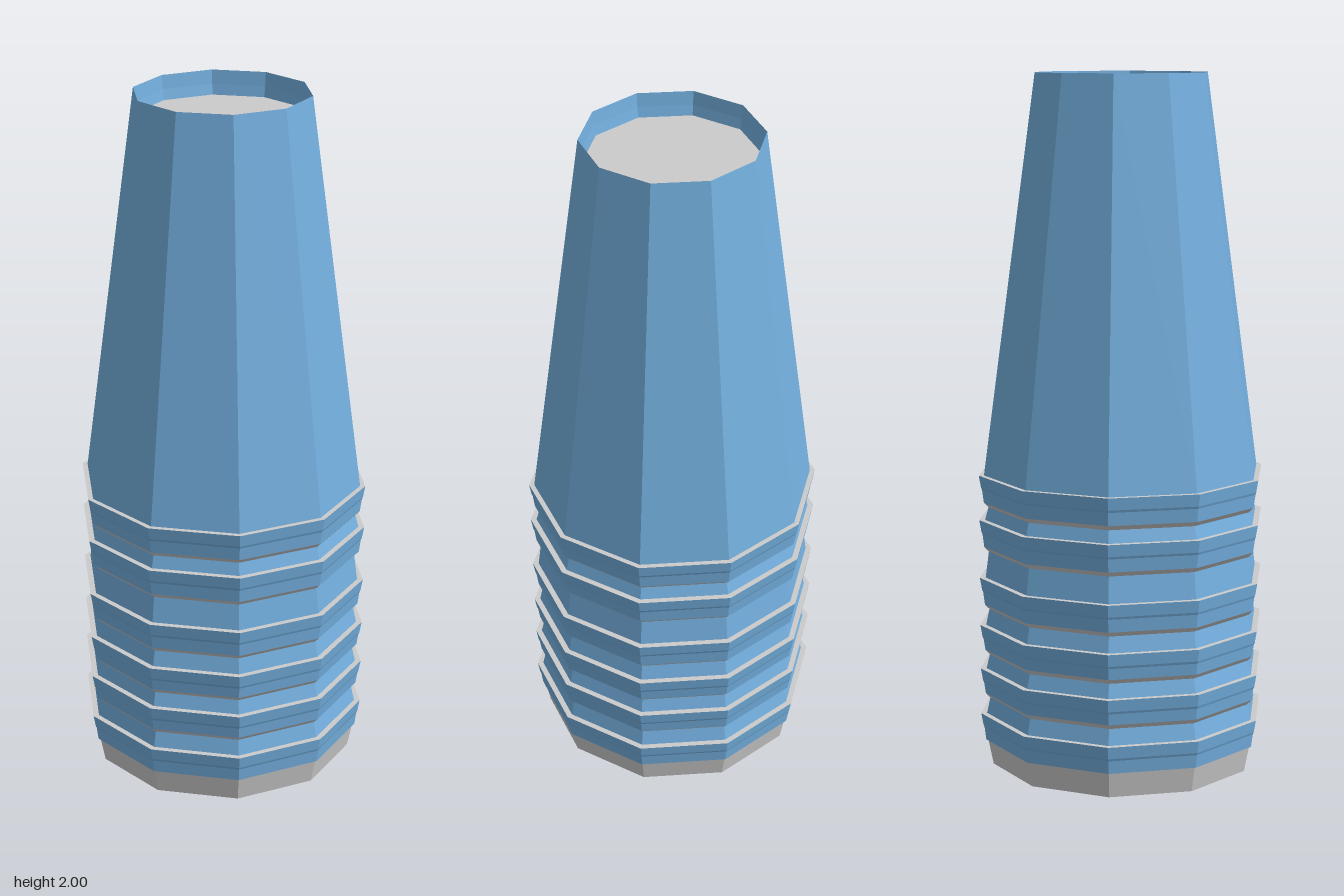
import * as THREE from 'three';

const SIDES = 10;

// Ten-sided turned part from [radius, height] pairs
function turned(name, profile, color) {
  const points = profile.map(([r, y]) => new THREE.Vector2(r, y));
  const geometry = new THREE.LatheGeometry(points, SIDES, Math.PI / SIDES);
  const material = new THREE.MeshStandardMaterial({ color, flatShading: true, side: THREE.DoubleSide });
  const mesh = new THREE.Mesh(geometry, material);
  mesh.name = name;
  return mesh;
}

export function createModel() {
  const group = new THREE.Group();
  group.name = 'ribbedSleeve';
  const blue = 0x74b0e0, grey = 0xcccccc;

  // Tapered upper barrel with a shallow lip turned inside the top
  group.add(turned('barrel', [[0.405, 0.86], [0.25, 2], [0.246, 1.96], [0.241, 1.93]], blue));
  // Recessed closing disc
  group.add(turned('topDisc', [[0.241, 1.93], [0, 1.93]], grey));
  // Open base and the hollow inside
  group.add(turned('baseCollar', [[0.385, 0], [0.4, 0.075]], grey));
  group.add(turned('innerWall', [[0.235, 1.92], [0.385, 0]], grey));

  // Grip ribs, with blue valleys between them
  const ribs = [[0.075, 0.155], [0.215, 0.29], [0.345, 0.42], [0.48, 0.56], [0.65, 0.73], [0.78, 0.86]];
  ribs.forEach(([low, high], i) => {
    const rib = new THREE.Group();
    rib.name = 'rib' + (i + 1);
    const step = high - 0.035;
    rib.add(turned('ribBand', [[0.406, low], [0.411, step - 0.007], [0.414, step], [0.42, high]], blue));
    rib.add(turned('ribTop', [[0.42, high], [0.403, high]], grey));
    if (i > 0) {
      rib.add(turned('ribUnderside', [[0.393, low - 0.014], [0.406, low]], grey));
      rib.add(turned('valley', [[0.403, ribs[i - 1][1]], [0.393, low - 0.014]], blue));
    }
    group.add(rib);
  });
  return group;
}
